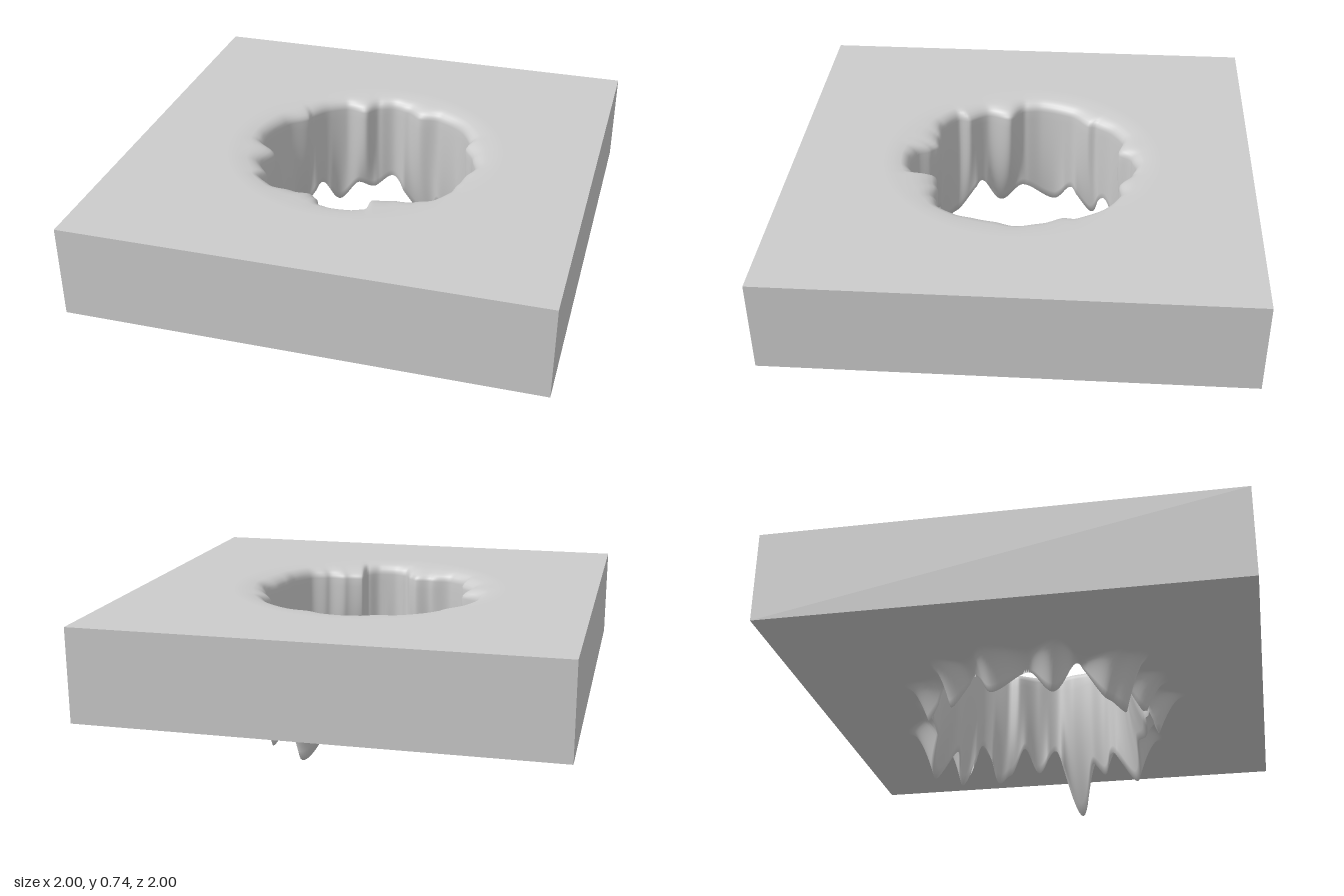
import * as THREE from 'three';

const TOP = 0.735, BOTTOM = 0.335, SEGMENTS = 360;

// Hole outline: [angle in degrees from +x towards +z, radius]
const outline = [
  [0, 0.49], [10, 0.465], [20, 0.47], [30, 0.49], [41, 0.495], [50, 0.46], [60, 0.41], [71, 0.39],
  [75, 0.48], [82, 0.5], [90, 0.5], [97, 0.485], [103, 0.43], [108, 0.41], [117, 0.44], [128, 0.49],
  [139, 0.5], [144, 0.46], [155, 0.47], [168, 0.41], [178, 0.48], [187, 0.49], [204, 0.485],
  [218, 0.455], [222, 0.475], [234, 0.49], [243, 0.49], [254, 0.44], [262, 0.485], [270, 0.5],
  [278, 0.485], [288, 0.45], [299, 0.49], [314, 0.5], [330, 0.485], [336, 0.45], [348, 0.47],
];

// Torn lip below the slab: [angle in degrees, hanging depth]
const teeth = [
  [-2, 0.02], [10, 0.335], [20, 0.11], [26, 0.17], [33, 0.08], [45, 0.245], [57, 0.09], [65, 0.1],
  [80, 0.01], [90, 0.18], [99, 0.05], [106, 0.13], [113, 0.155], [121, 0.06], [130, 0.225],
  [138, 0.18], [151, 0.01], [165, 0.18], [176, 0.07], [193, 0.16], [205, 0.05], [215, 0.18],
  [228, 0.03], [240, 0.16], [250, 0.05], [258, 0.08], [269, 0.02], [288, 0.255], [298, 0.1],
  [307, 0.235], [316, 0.02], [328, 0.19], [333, 0.15], [340, 0.02], [349, 0.13],
];

const mix = THREE.MathUtils.lerp;

// Eased interpolation around the full circle
function around(keys, deg) {
  const n = keys.length;
  if (deg < keys[0][0]) deg += 360;
  let i = n - 1;
  while (i > 0 && keys[i][0] > deg) i--;
  const a = keys[i];
  const b = i + 1 < n ? keys[i + 1] : [keys[0][0] + 360, keys[0][1]];
  const t = (deg - a[0]) / (b[0] - a[0]);
  return mix(a[1], b[1], t * t * (3 - 2 * t));
}

// Section at one angle: top edge, rim, hole wall, tooth tip, flare, bottom edge
function section(deg) {
  const a = THREE.MathUtils.degToRad(deg);
  const edge = 1 / Math.max(Math.abs(Math.cos(a)), Math.abs(Math.sin(a)));
  const R = around(outline, deg), d = around(teeth, deg);
  const tip = Math.max(0.46 + 0.4 * d, R + 0.01);
  const foot = tip + 0.05 + 0.4 * d;
  const tipY = BOTTOM - d;
  const pts = [[edge, TOP], [mix(edge, 0.6, 0.5), TOP], [0.61, TOP], [0.57, TOP - 0.002]];

  // rounded rim
  for (let i = 1; i <= 6; i++) {
    const t = (i / 6) * Math.PI / 2;
    pts.push([mix(0.55, R, Math.sin(t)), TOP - 0.005 - 0.05 * (1 - Math.cos(t))]);
  }
  // wall of the hole, spreading towards the tip
  for (let i = 1; i <= 12; i++) {
    const t = i / 12;
    pts.push([mix(R, tip, t ** 2.2), mix(TOP - 0.055, tipY, t)]);
  }
  // outside of the tooth, sweeping up to the underside
  for (let i = 1; i <= 10; i++) {
    const u = i / 10;
    pts.push([mix(tip, foot, u), BOTTOM - d * (1 - u) ** 1.8]);
  }
  pts.push([Math.max(foot + 0.02, 0.84), BOTTOM], [edge, BOTTOM]);
  return pts.map(([r, y]) => [r * Math.cos(a), y, r * Math.sin(a)]);
}

function tornSurface() {
  const positions = [], index = [];
  let rows = 0;
  for (let j = 0; j < SEGMENTS; j++) {
    const pts = section(j * 360 / SEGMENTS);
    rows = pts.length;
    positions.push(...pts.flat());
  }
  for (let j = 0; j < SEGMENTS; j++) {
    const p = j * rows, q = ((j + 1) % SEGMENTS) * rows;
    for (let i = 0; i < rows - 1; i++) {
      index.push(p + i, p + i + 1, q + i, q + i, p + i + 1, q + i + 1);
    }
  }
  const geometry = new THREE.BufferGeometry();
  geometry.setAttribute('position', new THREE.Float32BufferAttribute(positions, 3));
  geometry.setIndex(index);
  geometry.computeVertexNormals();
  return geometry;
}

export function createModel() {
  const group = new THREE.Group();
  group.name = 'slabWithTornHole';

  // top face, hole and underside in one smooth skin
  const skin = new THREE.Mesh(tornSurface(), new THREE.MeshStandardMaterial({
    color: 0xcccccc, side: THREE.DoubleSide,
  }));
  skin.name = 'tornHoleSurface';

  // four flat sides of the slab
  const band = new THREE.CylinderGeometry(Math.SQRT2, Math.SQRT2, TOP - BOTTOM, 4, 1, true);
  band.rotateY(Math.PI / 4);
  const sides = new THREE.Mesh(band, new THREE.MeshStandardMaterial({
    color: 0xcccccc, flatShading: true,
  }));
  sides.name = 'slabSides';
  sides.position.y = (TOP + BOTTOM) / 2;

  group.add(skin, sides);
  return group;
}
